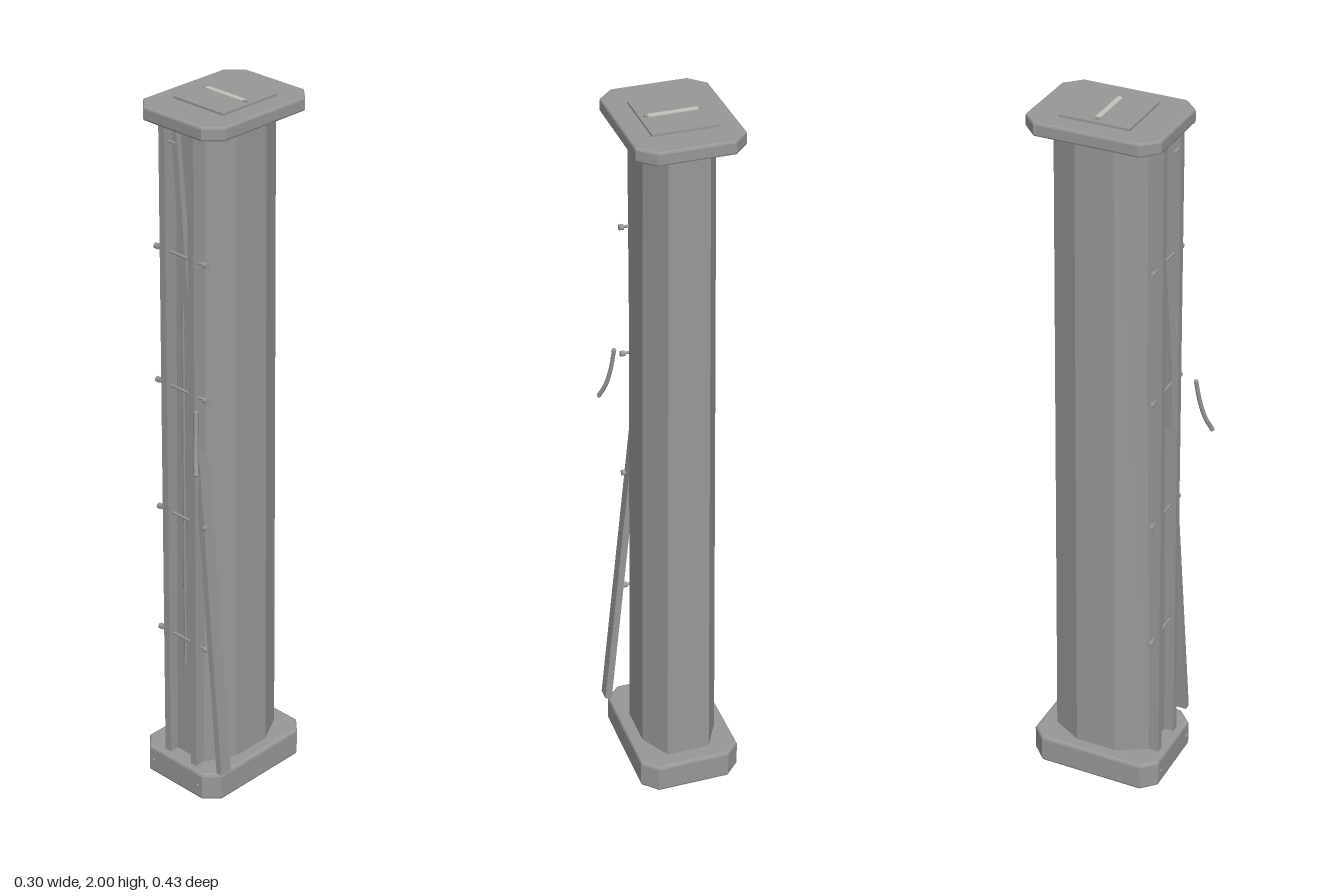
import * as THREE from 'three';

const CX = -0.011, CZ = -0.022; // centre line of the column

const metal = new THREE.MeshStandardMaterial({ color: 0x999896 });
metal.name = 'greyMetal';
const bright = new THREE.MeshStandardMaterial({ color: 0xc4c4c0 });
bright.name = 'lightMetal';

// rectangle with cut corners
function octagon(hx, hz, cx, cz) {
  return new THREE.Shape([
    [hx, -hz + cz], [hx, hz - cz], [hx - cx, hz], [-hx + cx, hz],
    [-hx, hz - cz], [-hx, -hz + cz], [-hx + cx, -hz], [hx - cx, -hz],
  ].map(([x, y]) => new THREE.Vector2(x, y)));
}

export function createModel() {
  const group = new THREE.Group();
  const add = (name, geo, x = 0, y = 0, z = 0, mat = metal) => {
    const mesh = new THREE.Mesh(geo, mat);
    mesh.name = name;
    mesh.position.set(x, y, z);
    group.add(mesh);
    return mesh;
  };
  const box = (name, w, h, d, x, y, z, mat) =>
    add(name, new THREE.BoxGeometry(w, h, d), x, y, z, mat);

  // bevelled slab standing on y
  const slab = (name, hx, hz, cut, y, h, bevel) => {
    const geo = new THREE.ExtrudeGeometry(octagon(hx - bevel, hz - bevel, cut, cut), {
      depth: h - 2 * bevel, bevelThickness: bevel, bevelSize: bevel, bevelSegments: 2,
    });
    geo.rotateX(-Math.PI / 2);
    return add(name, geo, CX, y + bevel, CZ);
  };
  slab('base', 0.142, 0.192, 0.035, 0, 0.084, 0.008);
  slab('lid', 0.142, 0.184, 0.038, 1.952, 0.038, 0.006);

  // tapering eight-sided column
  const h = 1.88;
  const column = new THREE.ExtrudeGeometry(octagon(0.107, 0.144, 0.046, 0.085), { depth: h, bevelEnabled: false });
  column.rotateX(-Math.PI / 2);
  const p = column.attributes.position;
  for (let i = 0; i < p.count; i++) {
    const t = p.getY(i) / h;
    p.setX(i, p.getX(i) * (1 - 0.115 * t));
    p.setZ(i, p.getZ(i) * (1 - 0.09 * t));
  }
  column.computeVertexNormals();
  add('column', column, CX, 0.08, CZ);

  // top hatch and its grip
  box('hatch', 0.172, 0.012, 0.192, CX, 1.99, -0.026);
  box('hatchGrip', 0.13, 0.003, 0.014, CX, 1.9985, -0.026, bright);
  for (const s of [-1, 1]) box('gripEnd', 0.009, 0.004, 0.01, CX + s * 0.069, 1.998, -0.026);

  // front rails
  for (const x of [-0.06, 0.04]) box('frontRail', 0.021, 1.874, 0.042, x, 1.017, 0.129);

  // cross rods with end knobs
  for (const y of [0.47, 0.85, 1.23, 1.61]) {
    const rod = add('crossRod', new THREE.CylinderGeometry(0.004, 0.004, 0.17, 8), CX, y, 0.133);
    rod.rotation.z = Math.PI / 2;
    for (const s of [-1, 1]) {
      const knob = add('rodKnob', new THREE.CylinderGeometry(0.008, 0.008, 0.012, 10), CX + s * 0.086, y, 0.133);
      knob.rotation.z = Math.PI / 2;
    }
  }

  // hanging rod between the rails
  add('hangingRod', new THREE.CylinderGeometry(0.004, 0.004, 1.32, 8), -0.014, 1.04, 0.124);
  box('topCatch', 0.026, 0.006, 0.008, -0.016, 1.922, 0.16);

  // leaning bar
  const a = new THREE.Vector3(-0.045, 1.95, 0.105), b = new THREE.Vector3(0.135, 0.095, 0.128);
  const dir = a.clone().sub(b);
  const bar = box('leaningBar', 0.019, dir.length(), 0.037, 0, 0, 0);
  bar.position.copy(a).add(b).multiplyScalar(0.5);
  bar.quaternion.setFromUnitVectors(new THREE.Vector3(0, 1, 0), dir.normalize());

  // curved lever
  const curve = new THREE.CatmullRomCurve3([
    new THREE.Vector3(0.084, 1.215, 0.178), new THREE.Vector3(0.091, 1.155, 0.186),
    new THREE.Vector3(0.102, 1.1, 0.198), new THREE.Vector3(0.117, 1.06, 0.212),
  ]);
  add('lever', new THREE.TubeGeometry(curve, 16, 0.006, 8), 0, 0, 0);
  for (const t of [0, 1]) {
    const e = curve.getPoint(t);
    add('leverTip', new THREE.SphereGeometry(0.0065, 10, 8), e.x, e.y, e.z);
  }

  // studs on the front of the base
  for (const x of [-0.097, 0.076]) {
    const stud = add('baseStud', new THREE.CylinderGeometry(0.005, 0.005, 0.008, 10), x, 0.042, 0.171);
    stud.rotation.x = Math.PI / 2;
  }
  return group;
}
